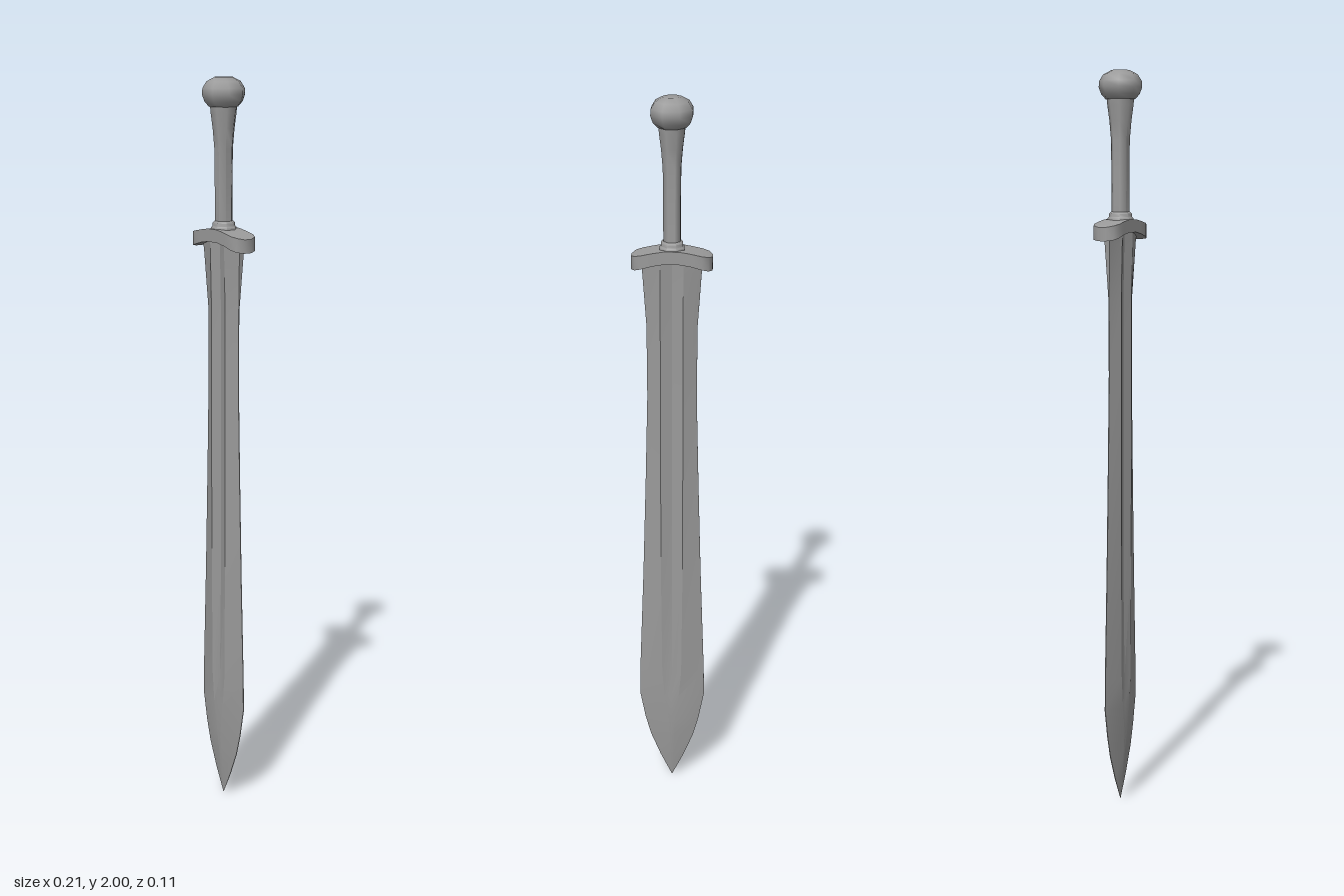
import * as THREE from 'three';
import { toCreasedNormals } from 'three/addons/utils/BufferGeometryUtils.js';

const material = new THREE.MeshStandardMaterial({ color: 0x9a9a9a });

function addPart(group, name, geometry, crease) {
  const mesh = new THREE.Mesh(toCreasedNormals(geometry, crease), material);
  mesh.name = name;
  group.add(mesh);
}

// Skins a row of closed cross-sections (arrays of [x, y, z]) and caps both ends.
function loft(rows) {
  const n = rows[0].length, index = [];
  const last = (rows.length - 1) * n;
  for (let r = 0; r < rows.length - 1; r++) {
    for (let i = 0; i < n; i++) {
      const a = r * n + i, b = r * n + (i + 1) % n;
      index.push(a, b, b + n, a, b + n, a + n);
    }
  }
  for (let i = 1; i < n - 1; i++) {
    index.push(0, i + 1, i, last, last + i, last + i + 1);
  }
  const geometry = new THREE.BufferGeometry();
  geometry.setAttribute('position', new THREE.Float32BufferAttribute(rows.flat(2), 3));
  geometry.setIndex(index);
  return geometry;
}

// Eight-sided turned part; radii are measured to the flats, which face x and z.
function turned(profile) {
  const points = profile.map(([r, y]) => new THREE.Vector2(r / Math.cos(Math.PI / 8), y));
  return new THREE.LatheGeometry(points, 8).rotateY(Math.PI / 8);
}

export function createModel() {
  const sword = new THREE.Group();
  sword.name = 'sword';

  // Blade stations: y, half width, ridge x, ridge z, centre z, edge z.
  // The shallow fuller fades out toward a single ridge near the tip.
  const stations = [
    [1.59, 0.082, 0.03, 0.022, 0.013, 0.010],
    [1.55, 0.077, 0.03, 0.021, 0.012, 0.007],
    [1.40, 0.067, 0.03, 0.018, 0.009, 0.001],
    [1.20, 0.066, 0.03, 0.018, 0.009, 0.001],
    [0.95, 0.072, 0.03, 0.018, 0.009, 0.001],
    [0.67, 0.080, 0.03, 0.018, 0.009, 0.001],
    [0.36, 0.091, 0.027, 0.018, 0.013, 0.001],
    [0.28, 0.092, 0.02, 0.018, 0.015, 0.001],
    [0.20, 0.077, 0.008, 0.017, 0.0175, 0.001],
    [0.14, 0.061, 0.005, 0.013, 0.014, 0.001],
    [0.07, 0.033, 0.003, 0.008, 0.0085, 0.001],
    [0.00, 0, 0, 0, 0, 0],
  ];
  const bladeRows = stations.map(([y, w, f, t, c, e]) => {
    const front = [[w, y, e], [f, y, t], [0, y, c], [-f, y, t], [-w, y, e]];
    return [...front, ...front.map(([x, , z]) => [-x, y, -z])];
  });
  addPart(sword, 'blade', loft(bladeRows), 0.4);

  // Arched guard with rounded ends: x, half depth, bottom y, top y
  const half = [
    [0.105, 0.011, 1.557, 1.593],
    [0.095, 0.03, 1.560, 1.597],
    [0.078, 0.037, 1.565, 1.601],
    [0.05, 0.037, 1.573, 1.607],
    [0.02, 0.037, 1.578, 1.612],
  ];
  const mirrored = half.map(([x, ...rest]) => [-x, ...rest]).reverse();
  const guardRows = [...half, ...mirrored].map(([x, d, low, high]) =>
    [[x, high, d], [x, high, -d], [x, low, -d], [x, low, d]]);
  addPart(sword, 'guard', loft(guardRows), 0.7);

  // Collar between guard and grip
  addPart(sword, 'collar', turned([
    [0, 1.60], [0.032, 1.60], [0.032, 1.615], [0.028, 1.619],
    [0.028, 1.627], [0.023, 1.632], [0, 1.632],
  ]), 0.85);

  // Grip, flaring toward the pommel
  addPart(sword, 'grip', turned([
    [0, 1.62], [0.022, 1.62], [0.022, 1.72], [0.023, 1.82],
    [0.027, 1.87], [0.032, 1.91], [0.034, 1.935], [0, 1.935],
  ]), 0.85);

  // Faceted round pommel
  addPart(sword, 'pommel', turned([
    [0, 1.925], [0.036, 1.925], [0.047, 1.938], [0.053, 1.956],
    [0.052, 1.972], [0.042, 1.989], [0.022, 2.0], [0, 2.0],
  ]), 0.9);

  return sword;
}
